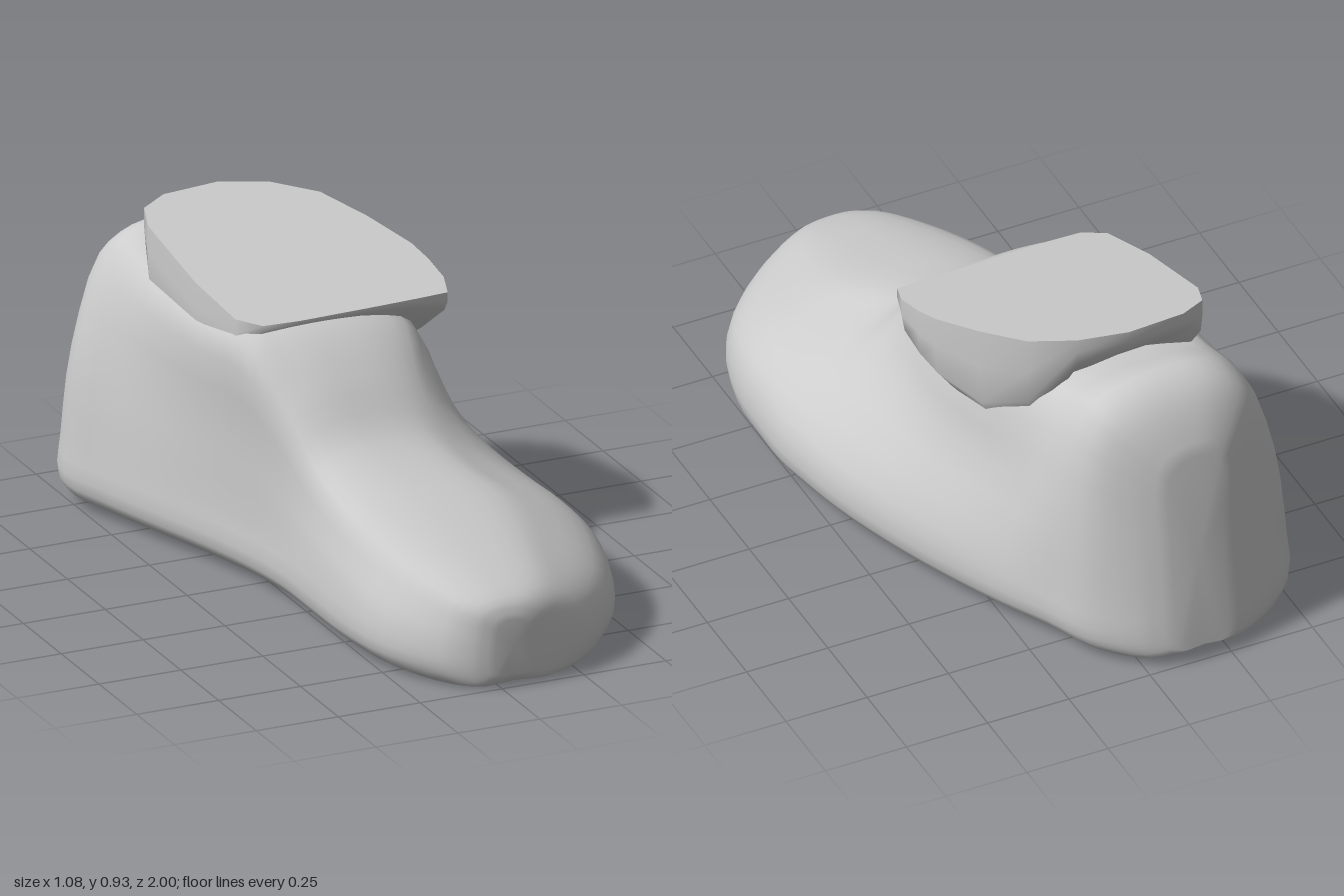
import * as THREE from 'three';

const V = (x, y, z) => new THREE.Vector3(x, y, z);
const mix = THREE.MathUtils.lerp, smooth = THREE.MathUtils.smoothstep;

// Skin closed rings of points into one smooth surface, optionally closing both ends.
function loft(rings, closeEnds) {
  const n = rings[0].length, pos = [], idx = [];
  rings.forEach(r => r.forEach(p => pos.push(p.x, p.y, p.z)));
  for (let i = 0; i < rings.length - 1; i++) {
    for (let j = 0; j < n; j++) {
      const k = (j + 1) % n, a = i * n + j, b = i * n + k;
      idx.push(a, b, b + n, a, b + n, a + n);
    }
  }
  if (closeEnds) {
    [0, rings.length - 1].forEach(i => {
      const c = rings[i].reduce((s, p) => s.add(p), V(0, 0, 0)).divideScalar(n);
      const m = pos.length / 3;
      pos.push(c.x, c.y, c.z);
      for (let j = 0; j < n; j++) {
        const a = i * n + j, b = i * n + (j + 1) % n;
        if (i === 0) idx.push(m, b, a); else idx.push(m, a, b);
      }
    });
  }
  const g = new THREE.BufferGeometry();
  g.setAttribute('position', new THREE.Float32BufferAttribute(pos, 3));
  g.setIndex(idx);
  g.computeVertexNormals();
  return g;
}

// Foot cross-sections from heel to toe: z, lean, base min x, base max x, top min x, top max x, base y, top y
const SECTIONS = [
  [-1.005, 0.17, -0.25, -0.09, -0.27, -0.10, 0.05, 0.63],
  [-0.97, 0.17, -0.35, 0.01, -0.34, -0.02, 0.03, 0.73],
  [-0.87, 0.10, -0.49, 0.125, -0.40, 0.045, 0.02, 0.795],
  [-0.73, 0.01, -0.535, 0.195, -0.405, 0.07, 0.02, 0.825],
  [-0.59, 0, -0.495, 0.265, -0.39, 0.10, 0.015, 0.78],
  [-0.40, 0, -0.435, 0.35, -0.38, 0.18, 0.012, 0.75],
  [-0.20, 0, -0.37, 0.425, -0.36, 0.22, 0.01, 0.74],
  [0.00, 0, -0.32, 0.485, -0.33, 0.20, 0.01, 0.75],
  [0.16, 0, -0.295, 0.515, -0.275, 0.165, 0.008, 0.635],
  [0.27, 0, -0.29, 0.53, -0.25, 0.19, 0.006, 0.515],
  [0.38, 0, -0.29, 0.53, -0.24, 0.24, 0.006, 0.455],
  [0.55, 0, -0.285, 0.52, -0.22, 0.31, 0.005, 0.40],
  [0.76, 0, -0.25, 0.45, -0.17, 0.27, 0.005, 0.335],
  [0.92, 0, -0.155, 0.305, -0.11, 0.21, 0.006, 0.28],
  [0.98, 0, -0.08, 0.17, -0.06, 0.14, 0.012, 0.245],
  [1.00, 0, -0.02, 0.09, -0.01, 0.08, 0.04, 0.20],
];

function sectionRing([z, lean, xL, xR, tL, tR, y0, h]) {
  const w = xR - xL, t = tR - tL, low = Math.min(0.2, mix(y0, h, 0.45));
  const edge = y0 + Math.min(0.055, (h - y0) * 0.2);
  // Shoulders: square on the inner ankle, sloping on the outer forefoot
  const shL = mix(y0, h, 0.9 + 0.06 * smooth(z, -0.75, -0.5) * (1 - smooth(z, -0.05, 0.2)));
  const shR = mix(y0, h, 0.9 - 0.06 * smooth(z, 0.1, 0.5));
  // The outer flank is hollow below the ankle and full at heel and toe
  const outer = 0.35 + 0.31 * smooth(z, -0.75, -0.4) * (1 - smooth(z, -0.05, 0.45));
  const inner = 0.25 + 0.13 * smooth(z, -0.75, -0.4);
  return [
    [xL + 0.08 * w, y0], [mix(xL, xR, 0.5), y0], [xR - 0.08 * w, y0],
    [xR, edge], [mix(xR, tR, 0.05), low],
    [mix(xR, tR, outer), mix(low, shR, 0.5)], [tR, shR],
    [tR - 0.22 * t, mix(shR, h, 0.75)], [mix(tL, tR, 0.47), h], [tL + 0.2 * t, mix(shL, h, 0.85)],
    [tL, shL], [mix(xL, tL, inner), mix(low, shL, 0.5)],
    [mix(xL, tL, 0.02), low], [xL, edge],
  ].map(([x, y]) => V(x, y, z + lean * y));
}

function footGeometry() {
  const rows = SECTIONS.map(sectionRing), steps = (rows.length - 1) * 3;
  const columns = rows[0].map((_, j) => new THREE.CatmullRomCurve3(rows.map(r => r[j])));
  const rings = [];
  for (let i = 0; i <= steps; i++) {
    const ring = new THREE.CatmullRomCurve3(columns.map(c => c.getPoint(i / steps)), true);
    rings.push(ring.getPoints(42).slice(0, 42).map(p => {
      p.y = Math.max(p.y, 0);
      return p;
    }));
  }
  return loft(rings, true);
}

// Ankle rim: x, z, depth of the wall, how far it tucks in below that depth
const RIM = [
  [0.30, -0.01, 0.06, 1], [0.32, -0.08, 0.12, 1], [0.315, -0.17, 0.17, 1], [0.30, -0.25, 0.21, 1],
  [0.235, -0.40, 0.28, 1], [0.155, -0.54, 0.24, 1], [0.04, -0.62, 0.10, 1], [-0.10, -0.66, 0.07, 1],
  [-0.275, -0.645, 0.07, 1], [-0.355, -0.60, 0.12, 0.6], [-0.38, -0.52, 0.18, 0.5], [-0.365, -0.24, 0.18, 0.5],
  [-0.33, -0.05, 0.10, 0.5], [-0.27, 0.00, 0.03, 0.7], [-0.16, 0.005, 0.02, 0.8], [0.05, 0.00, 0.02, 0.8],
  [0.20, -0.005, 0.03, 0.9],
];
const rimRing = (inset, depth, extra) => RIM.map(([x, z, d, tuck]) => {
  const s = 1 - inset * tuck;
  return V(mix(-0.05, x, s), 0.765 - 0.25 * z - d * depth - extra, mix(-0.33, z, s));
});

export function createModel() {
  const model = new THREE.Group();
  const grey = new THREE.MeshStandardMaterial({ color: 0xcccccc });
  grey.name = 'plain grey';
  const add = (name, geometry) => {
    const mesh = new THREE.Mesh(geometry, grey);
    mesh.name = name;
    model.add(mesh);
  };

  add('foot', footGeometry());

  // Ankle wall, overhanging the outer side and back, near flush with the inner side
  const top = rimRing(0, 0, 0);
  add('ankleCollar', loft([
    rimRing(0.36, 1, 0.10), rimRing(0.14, 1, 0.035), rimRing(0.02, 0.9, 0), rimRing(0, 0.45, 0), top,
  ], false));

  // Flat sloping cut across the ankle
  const cap = new THREE.BufferGeometry(), centre = V(-0.05, 0.765 + 0.25 * 0.33, -0.33);
  cap.setFromPoints(top.flatMap((p, j) => [centre, p, top[(j + 1) % top.length]]));
  cap.computeVertexNormals();
  add('ankleTop', cap);

  return model;
}
